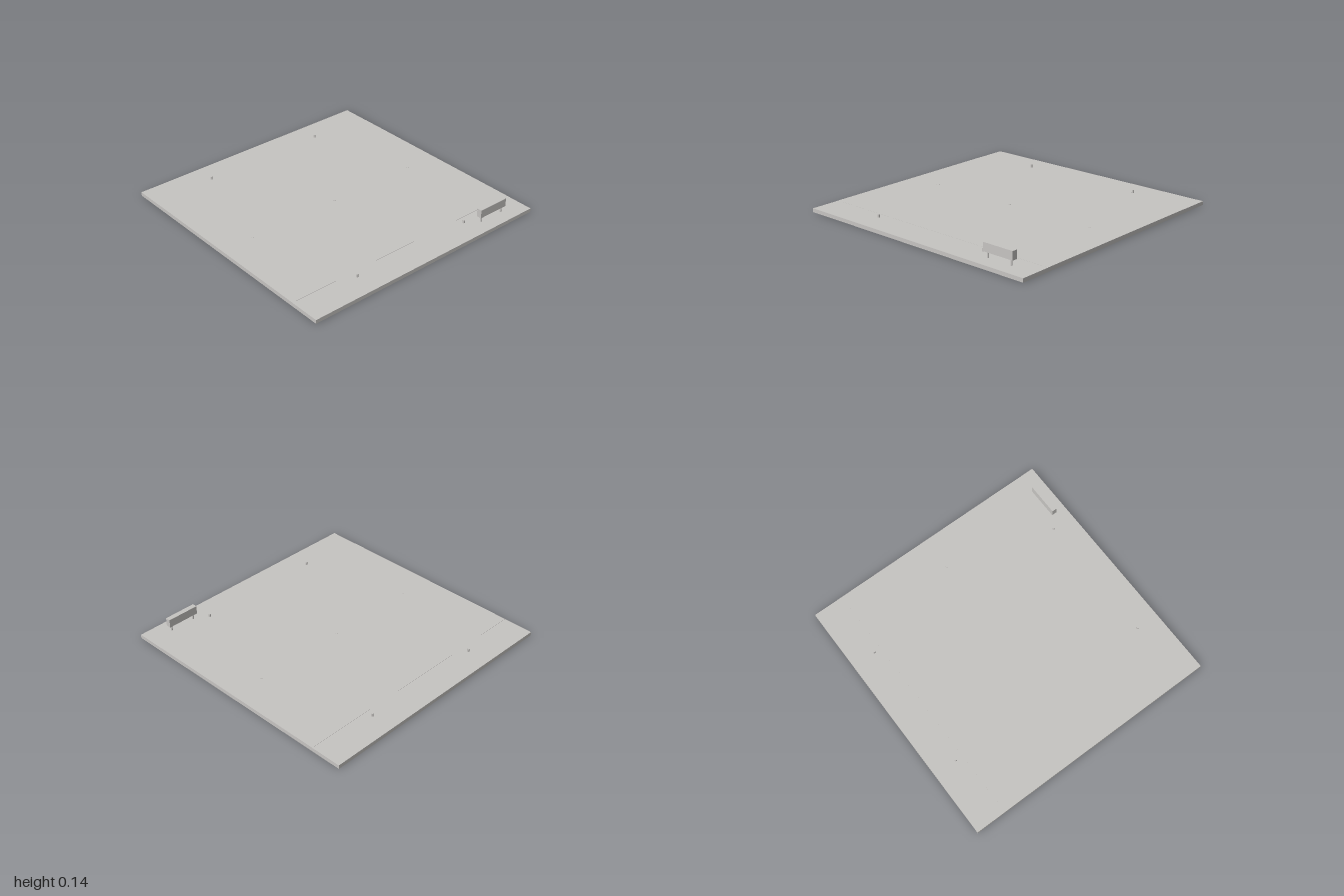
import * as THREE from 'three';

export function createModel() {
  const model = new THREE.Group();
  const grey = new THREE.MeshStandardMaterial({ color: 0xc7c5c2 });
  grey.name = 'light warm grey';

  const add = (name, geometry, x, y, z) => {
    const mesh = new THREE.Mesh(geometry, grey);
    mesh.name = name;
    mesh.position.set(x, y, z);
    model.add(mesh);
  };
  // Box given by its lower and upper limits on each axis
  const box = (name, [x0, x1], [y0, y1], [z0, z1]) =>
    add(name, new THREE.BoxGeometry(x1 - x0, y1 - y0, z1 - z0), (x0 + x1) / 2, (y0 + y1) / 2, (z0 + z1) / 2);
  // Upright round pin standing between two heights
  const pin = (name, radius, x, z, y0, y1) =>
    add(name, new THREE.CylinderGeometry(radius, radius, y1 - y0, 32), x, (y0 + y1) / 2, z);

  const top = 0.03, under = 0.02, edge = 0.765, wall = 0.01;

  // Deck: a main panel, very slightly proud of the two end panels
  box('mainPanel', [-1, 1], [under, top], [-edge, edge]);
  for (const s of [-1, 1]) {
    const span = (a, b) => (s > 0 ? [a, b] : [-b, -a]);
    box('endPanel', [-1, 1], [under, top - 0.001], span(edge, 1));
    // Rim and cross ribs below the deck
    box('endRim', [-1, 1], [0, under], span(1 - wall, 1));
    box('sideRim', span(1 - wall, 1), [0, under], [-1 + wall, 1 - wall]);
    box('crossRib', [-1 + wall, 1 - wall], [0, under], span(edge, edge + 0.03));
    // Short corner pegs
    for (const x of [-0.5, 0.5]) pin('peg', 0.008, x, s * 0.82, top - 0.002, 0.052);
  }

  // Low studs along the middle line
  for (const x of [-0.735, 0, 0.735]) pin('stud', 0.011, x, 0, top - 0.001, 0.0325);

  // Raised block on two legs at the front corner
  for (const x of [0.605, 0.805]) pin('blockLeg', 0.007, x, 0.887, top - 0.002, 0.075);
  box('raisedBlock', [0.58, 0.832], [0.073, 0.137], [0.867, 0.906]);

  return model;
}
